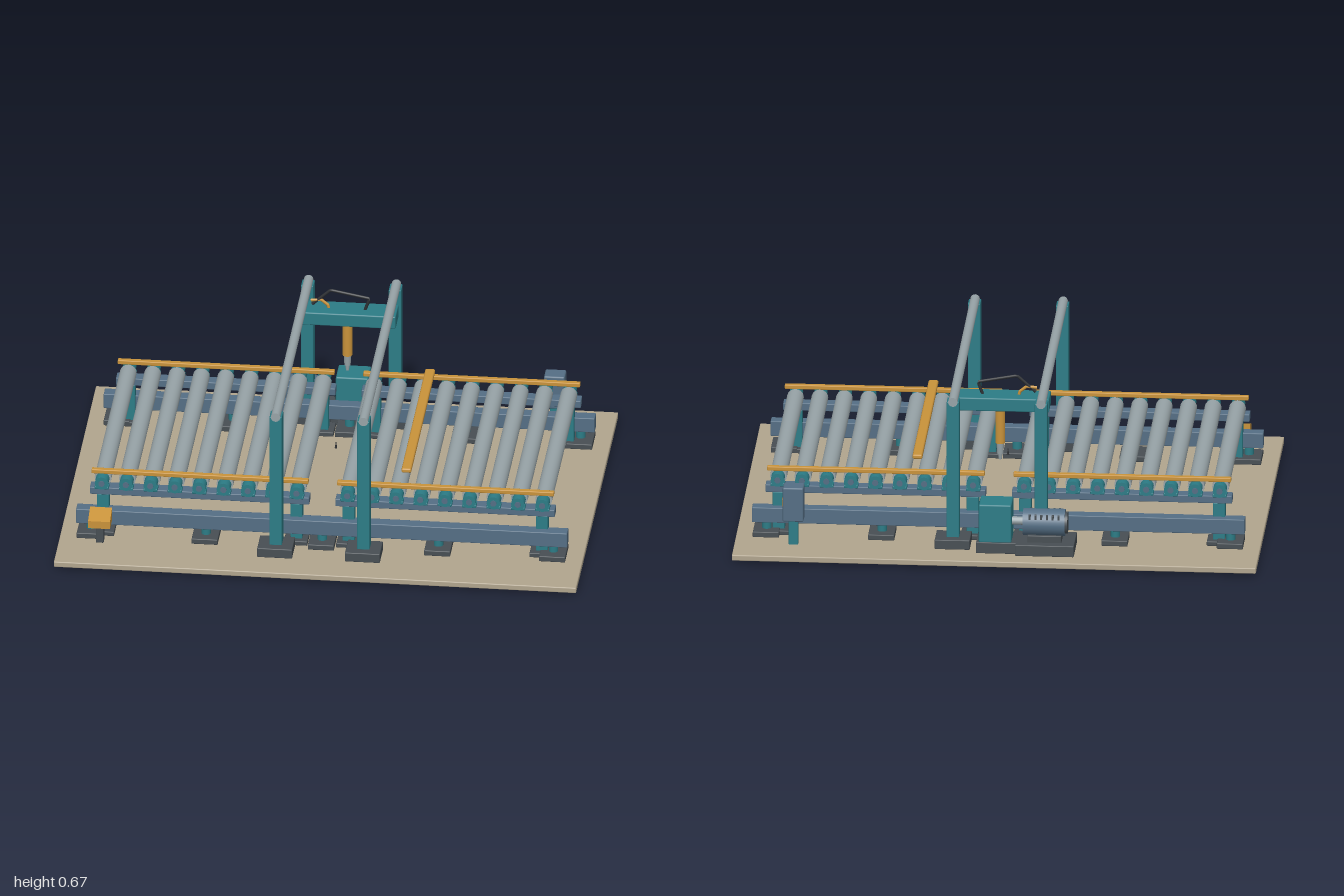
import * as THREE from 'three';
import { RoundedBoxGeometry } from 'three/addons/geometries/RoundedBoxGeometry.js';

const paint = (name, color) => {
  const m = new THREE.MeshStandardMaterial({ color });
  m.name = name;
  return m;
};

export function createModel() {
  const root = new THREE.Group();
  root.name = 'rollerConveyor';
  const floor = paint('floorBeige', 0xb0a48d);
  const teal = paint('machineTeal', 0x2c7c86);
  const blue = paint('slateBlue', 0x546e84);
  const steel = paint('rollerSteel', 0x97a3a7);
  const gold = paint('safetyGold', 0xc8923a);
  const dark = paint('footCharcoal', 0x474e53);
  const black = paint('cableBlack', 0x2c2f33);

  const add = (parent, name, geo, mat, x, y, z) => {
    const m = new THREE.Mesh(geo, mat);
    m.name = name;
    m.position.set(x, y, z);
    parent.add(m);
    return m;
  };
  // Box given by its limits on each axis, with a slight edge bevel
  const box = (parent, name, mat, x0, x1, y0, y1, z0, z1, bevel = 0.003) =>
    add(parent, name, new RoundedBoxGeometry(x1 - x0, y1 - y0, z1 - z0, 1, bevel), mat,
      (x0 + x1) / 2, (y0 + y1) / 2, (z0 + z1) / 2);
  // Cylinder along a chosen axis
  const rod = (parent, name, mat, axis, r, len, x, y, z, sides = 20, r2 = r) => {
    const g = new THREE.CylinderGeometry(r, r2, len, sides);
    if (axis === 'x') g.rotateZ(-Math.PI / 2);
    if (axis === 'z') g.rotateX(Math.PI / 2);
    return add(parent, name, g, mat, x, y, z);
  };
  const group = (name) => {
    const g = new THREE.Group();
    g.name = name;
    root.add(g);
    return g;
  };
  // Box limits mirrored to either side in z
  const sideBox = (parent, name, mat, s, x0, x1, y0, y1, z0, z1) =>
    box(parent, name, mat, x0, x1, y0, y1, Math.min(s * z0, s * z1), Math.max(s * z0, s * z1));

  box(root, 'floorSlab', floor, -1, 1, 0.011, 0.034, -0.735, 0.735, 0.004);

  // Side frames: lower beam, levelling feet, posts, bearing beams and guide rails
  for (const s of [-1, 1]) {
    const frame = group(s > 0 ? 'frontFrame' : 'backFrame');
    sideBox(frame, 'lowerBeam', blue, s, -0.94, 0.94, 0.085, 0.145, 0.455, 0.505);
    for (const x of [-0.885, -0.445, 0, 0.445, 0.885]) {
      sideBox(frame, 'footPlate', dark, s, x - 0.05, x + 0.05, 0.034, 0.056, 0.41, 0.53);
      rod(frame, 'footStem', teal, 'y', 0.018, 0.035, x, 0.07, s * 0.475);
    }
    for (const e of [-1, 1]) {
      const a = Math.min(e * 0.05, e * 0.89), b = Math.max(e * 0.05, e * 0.89);
      sideBox(frame, 'bearingBeam', blue, s, a, b, 0.2, 0.23, 0.43, 0.48);
      for (const x of [0.1, 0.84]) {
        sideBox(frame, 'framePost', teal, s, e * x - 0.023, e * x + 0.023, 0.05, 0.2, 0.432, 0.475);
        sideBox(frame, 'postFoot', dark, s, e * x - 0.045, e * x + 0.045, 0.034, 0.052, 0.41, 0.5);
      }
      sideBox(frame, 'guideRail', gold, s, e * 0.47 - 0.415, e * 0.47 + 0.415, 0.281, 0.298, 0.444, 0.466);
      for (let k = 0; k < 9; k++) {
        const x = e * (0.097 + k * 0.0933);
        sideBox(frame, 'bearingBase', teal, s, x - 0.027, x + 0.027, 0.228, 0.24, 0.45, 0.492);
        rod(frame, 'bearing', teal, 'z', 0.026, 0.046, x, 0.254, s * 0.471, 16);
        rod(frame, 'bearingCap', blue, 'z', 0.012, 0.008, x, 0.254, s * 0.494, 12);
        if (k % 2 === 0) {
          sideBox(frame, 'guideBracket', teal, s, x - 0.007, x + 0.007, 0.255, 0.283, 0.446, 0.462);
        }
      }
    }
  }

  // Transport rollers, nine per section
  const rollers = group('rollers');
  for (const e of [-1, 1]) {
    for (let k = 0; k < 9; k++) {
      const x = e * (0.097 + k * 0.0933);
      rod(rollers, 'roller', steel, 'z', 0.032, 0.88, x, 0.252, 0, 24);
      rod(rollers, 'rollerShaft', steel, 'z', 0.012, 0.97, x, 0.252, 0, 12);
    }
  }

  // Portal: four columns on plates carrying two cross tubes
  const portal = group('portal');
  for (const x of [-0.168, 0.168]) {
    for (const s of [-1, 1]) {
      sideBox(portal, 'portalPlate', dark, s, x - 0.067, x + 0.067, 0.034, 0.072, 0.5, 0.612);
      sideBox(portal, 'portalColumn', teal, s, x - 0.024, x + 0.024, 0.07, 0.618, 0.52, 0.577);
    }
    rod(portal, 'crossTube', steel, 'z', 0.018, 1.156, x, 0.618, 0, 20);
  }

  // Carriage with the tool, its hoses and fixing nubs
  const carriage = group('carriage');
  box(carriage, 'carriageBody', teal, -0.19, 0.19, 0.54, 0.593, -0.455, -0.348, 0.005);
  rod(carriage, 'toolBody', gold, 'y', 0.019, 0.135, 0, 0.463, -0.4);
  rod(carriage, 'toolCollar', black, 'y', 0.014, 0.012, 0, 0.535, -0.4);
  rod(carriage, 'toolNozzle', steel, 'y', 0.015, 0.045, 0, 0.375, -0.4, 16, 0.012);
  rod(carriage, 'toolTip', steel, 'y', 0.009, 0.025, 0, 0.342, -0.4, 16, 0.006);
  for (const x of [-0.035, 0.035]) rod(carriage, 'fixingNub', dark, 'y', 0.006, 0.012, x, 0.535, -0.4, 10);
  const hose = (name, mat, r, pts) => {
    const path = new THREE.CurvePath();
    const v = pts.map(([x, y]) => new THREE.Vector3(x, y, -0.4));
    for (let i = 1; i < v.length; i++) path.add(new THREE.LineCurve3(v[i - 1], v[i]));
    add(carriage, name, new THREE.TubeGeometry(path, 30, r, 8), mat, 0, 0, 0);
  };
  hose('cable', black, 0.006, [[-0.135, 0.605], [-0.065, 0.668], [0.085, 0.64], [0.065, 0.585]]);
  hose('airHose', gold, 0.006, [[-0.14, 0.622], [-0.1, 0.625], [-0.075, 0.605], [-0.07, 0.585]]);

  // Gold bar lying across the right-hand section
  box(root, 'crossBar', gold, 0.296, 0.334, 0.326, 0.344, -0.42, 0.42, 0.006);

  // Drive: finned motor, coupling and gearbox
  const drive = group('drive');
  box(drive, 'motorPlate', dark, -0.3, -0.075, 0.034, 0.078, -0.665, -0.5);
  box(drive, 'gearboxPlate', dark, -0.08, 0.075, 0.034, 0.078, -0.645, -0.51);
  box(drive, 'motorCradle', dark, -0.25, -0.12, 0.07, 0.105, -0.63, -0.545);
  rod(drive, 'motorBody', blue, 'x', 0.052, 0.16, -0.182, 0.147, -0.587, 24);
  rod(drive, 'motorEnd', dark, 'x', 0.042, 0.012, -0.266, 0.147, -0.587, 24);
  for (let k = 0; k < 6; k++) {
    for (const z of [-0.627, -0.547]) {
      box(drive, 'coolingFin', dark, -0.243 + k * 0.022, -0.235 + k * 0.022, 0.165, 0.188, z - 0.006, z + 0.006, 0.001);
    }
  }
  rod(drive, 'coupling', steel, 'x', 0.016, 0.06, -0.08, 0.15, -0.587, 16);
  box(drive, 'gearbox', teal, -0.06, 0.065, 0.075, 0.228, -0.64, -0.53, 0.006);

  // Control cabinet on its post, behind the right end
  const cabinet = group('controlCabinet');
  box(cabinet, 'cabinetBox', blue, 0.735, 0.815, 0.13, 0.267, -0.615, -0.548, 0.006);
  box(cabinet, 'cabinetPost', teal, 0.757, 0.793, 0.03, 0.135, -0.598, -0.562);
  box(cabinet, 'cabinetHandle', gold, 0.813, 0.819, 0.185, 0.215, -0.595, -0.57, 0.001);

  // Operator console with a sloping top, at the front left corner
  const desk = group('operatorConsole');
  const side = new THREE.Shape([[0.51, 0.108], [0.585, 0.108], [0.585, 0.138], [0.51, 0.162]]
    .map(([z, y]) => new THREE.Vector2(-z, y)));
  const deskGeo = new THREE.ExtrudeGeometry(side, { depth: 0.084, bevelEnabled: false });
  deskGeo.rotateY(Math.PI / 2);
  add(desk, 'consoleBox', deskGeo, gold, -0.885, 0, 0);
  box(desk, 'consoleStem', dark, -0.858, -0.828, 0.034, 0.11, 0.53, 0.56);

  // Small origin markers around the centre
  const markers = group('originMarkers');
  rod(markers, 'centreMarker', black, 'y', 0.005, 0.012, 0, 0.006, 0, 8);
  rod(markers, 'upMarker', black, 'y', 0.001, 0.025, 0, 0.213, 0, 8, 0.005);
  rod(markers, 'sideMarker', black, 'x', 0.004, 0.025, 0.205, 0.007, 0, 8);
  rod(markers, 'backMarker', black, 'z', 0.004, 0.03, 0, 0.007, -0.207, 8);
  return root;
}
